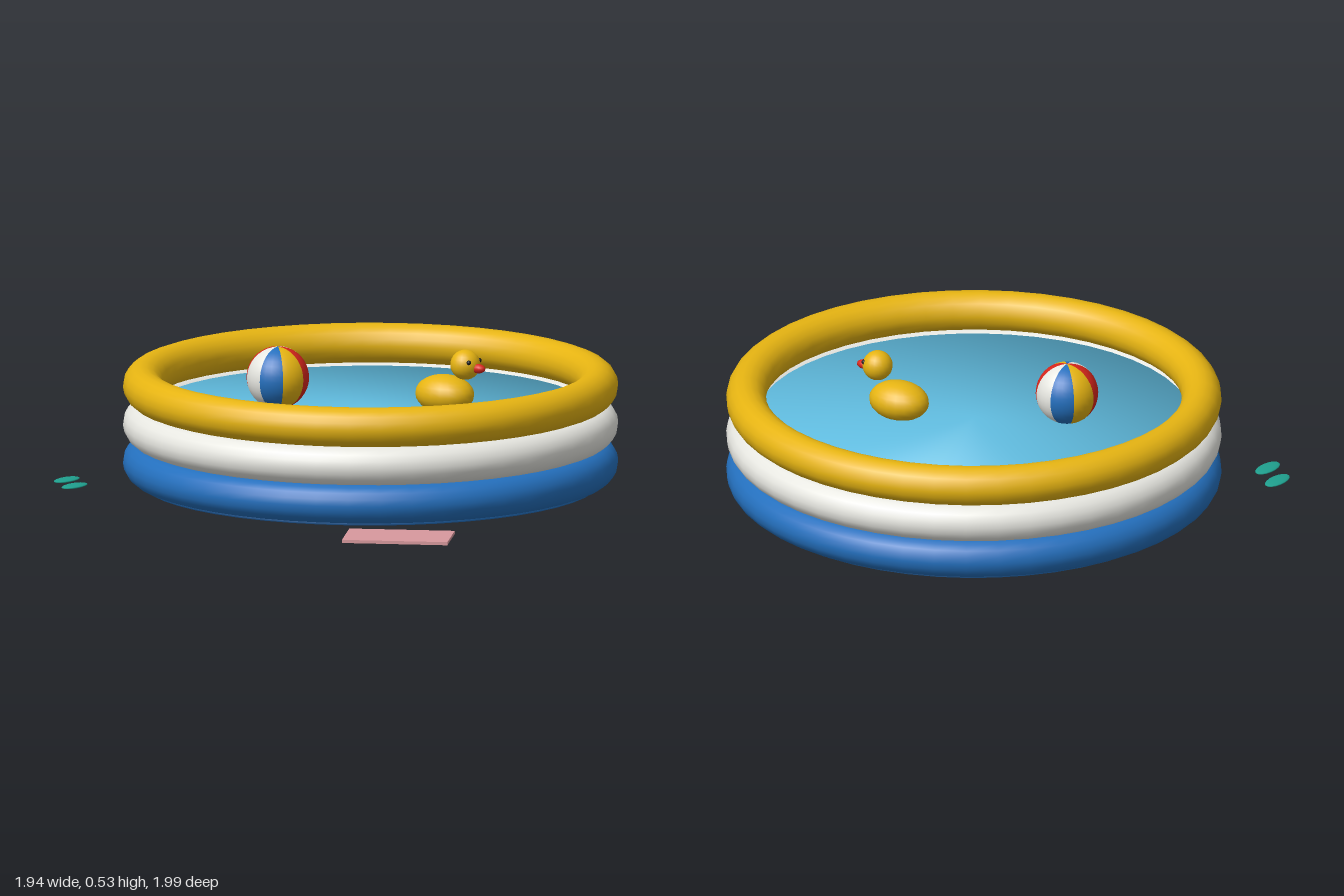
import * as THREE from 'three';

const mat = (name, color) => {
  const m = new THREE.MeshStandardMaterial({ color });
  m.name = name;
  return m;
};

export function createModel() {
  const yellow = mat('sunny yellow', 0xe6b412);
  const white = mat('soft white', 0xe8e8e2);
  const blue = mat('pool blue', 0x2470be);
  const water = mat('water blue', 0x62bfe3);
  const red = mat('bright red', 0xd9261c);
  const teal = mat('sandal teal', 0x1fa08e);
  const pink = mat('towel pink', 0xd8989e);
  const black = mat('eye black', 0x1a1a1a);

  const add = (parent, name, geometry, material, x = 0, y = 0, z = 0) => {
    const mesh = new THREE.Mesh(geometry, material);
    mesh.name = name;
    mesh.position.set(x, y, z);
    parent.add(mesh);
    return mesh;
  };
  const ellipsoid = (rx, ry, rz, w = 20, h = 14) =>
    new THREE.SphereGeometry(1, w, h).scale(rx, ry, rz);
  const group = (parent, name, x, y, z) => {
    const g = new THREE.Group();
    g.name = name;
    g.position.set(x, y, z);
    parent.add(g);
    return g;
  };

  // Thin disc whose normals lean outward at the rim, for soft shading
  const softDisc = (radius, height) => {
    const geo = new THREE.CylinderGeometry(radius, radius, height, 48);
    const p = geo.attributes.position, n = new THREE.Vector3();
    for (let i = 0; i < p.count; i++) {
      n.set(p.getX(i) / radius, Math.sign(p.getY(i)), p.getZ(i) / radius).normalize();
      geo.attributes.normal.setXYZ(i, n.x, n.y, n.z);
    }
    return geo;
  };

  const model = new THREE.Group();
  model.name = 'paddlingPool';

  // Pool: three stacked inflated rings, a floor and the water
  const pool = group(model, 'pool', 0, 0, -0.065);
  [['lowerRing', blue], ['middleRing', white], ['upperRing', yellow]].forEach(([name, m], i) => {
    const ring = new THREE.TorusGeometry(0.858, 0.075, 18, 48).rotateX(Math.PI / 2);
    add(pool, name, ring, m, 0, 0.084 + i * 0.146, 0);
  });
  add(pool, 'floor', softDisc(0.86, 0.02), blue, 0, 0.01, 0);
  add(pool, 'water', softDisc(0.85, 0.02), water, 0, 0.285, 0);

  // Beach ball: eight coloured gores
  const ball = group(model, 'beachBall', -0.302, 0.4, 0.113);
  const gores = [red, white, blue, yellow];
  for (let i = 0; i < 8; i++) {
    const gore = new THREE.SphereGeometry(0.118, 4, 18, i * Math.PI / 4, Math.PI / 4);
    add(ball, 'ballGore', gore, gores[i % 4]);
  }

  // Toy duck, looking along +x
  const duck = group(model, 'duck', 0.257, 0.352, -0.185);
  add(duck, 'duckBody', ellipsoid(0.12, 0.074, 0.093), yellow);
  add(duck, 'duckHead', ellipsoid(0.057, 0.057, 0.057), yellow, 0.095, 0.122, 0);
  add(duck, 'duckBeak', ellipsoid(0.032, 0.018, 0.02, 12, 8), red, 0.153, 0.113, 0);
  for (const side of [-1, 1]) {
    add(duck, 'duckEye', ellipsoid(0.009, 0.009, 0.009, 10, 8), black, 0.135, 0.138, side * 0.034);
  }

  // Sandals on the ground
  for (const [x, z] of [[-0.938, 0.59], [-0.843, 0.674]]) {
    add(model, 'sandal', ellipsoid(0.035, 0.007, 0.07, 16, 10), teal, x, 0.012, z);
  }

  // Towel lying at an angle
  const towel = add(model, 'towel', new THREE.BoxGeometry(0.4, 0.012, 0.232), pink, 0.738, 0.008, 0.798);
  towel.rotation.y = 0.495;

  return model;
}
